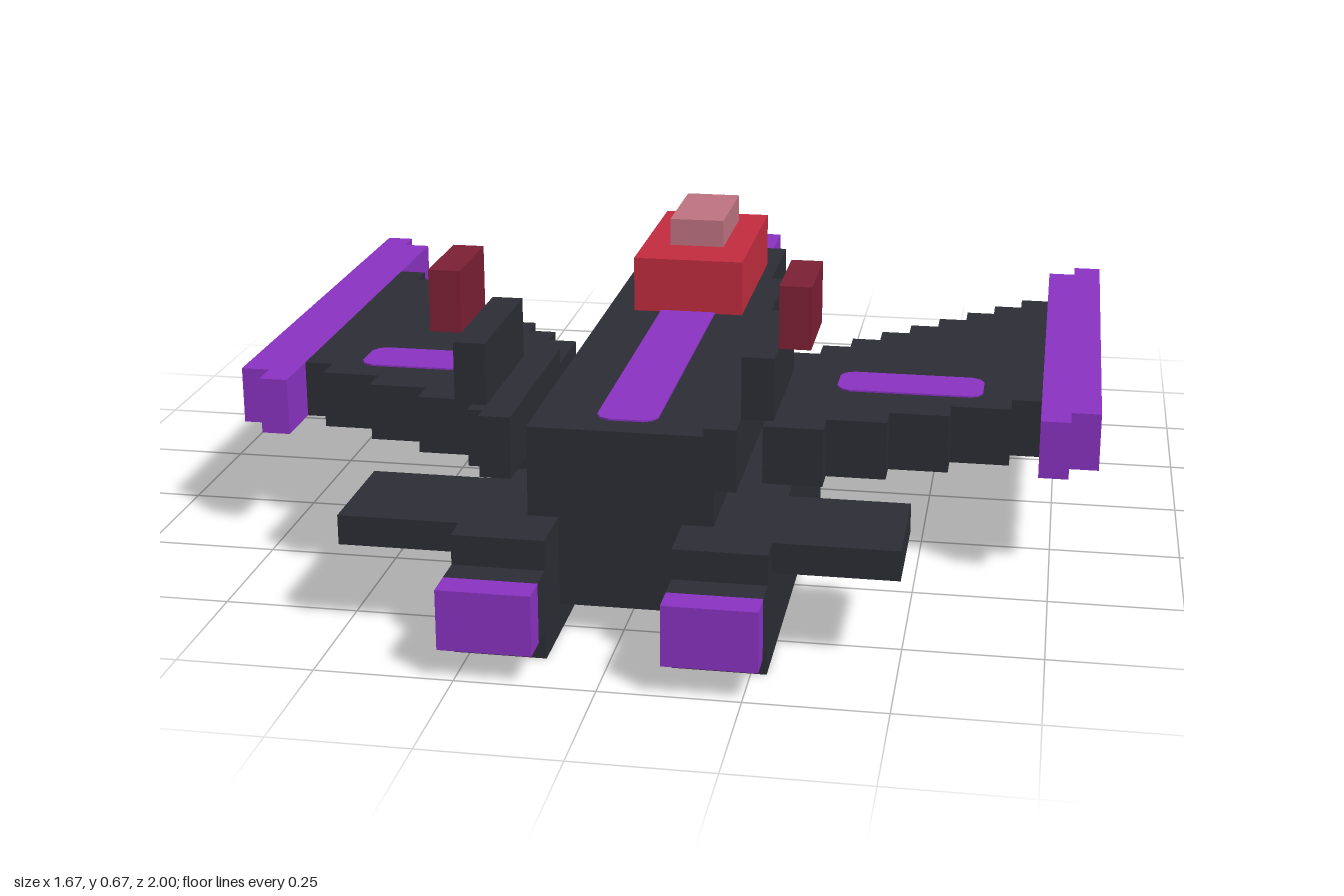
import * as THREE from 'three';

const U = 1 / 18; // one block

function material(name, color) {
  const m = new THREE.MeshStandardMaterial({ color });
  m.name = name;
  return m;
}

export function createModel() {
  const hull = material('charcoal hull', 0x2c2d35);
  const purple = material('purple trim', 0x8a33c2);
  const red = material('red canopy', 0xc22c3f);
  const darkRed = material('dark red tip', 0x7c2034);
  const pink = material('pink glass', 0xbf7482);

  const model = new THREE.Group();
  model.name = 'starfighter';

  const add = (parent, name, geometry, mat) => {
    const mesh = new THREE.Mesh(geometry, mat);
    mesh.name = name;
    parent.add(mesh);
  };

  // Box from block ranges along x, y and z
  const box = (parent, name, mat, [x0, x1], [y0, y1], [z0, z1]) => {
    const g = new THREE.BoxGeometry(Math.abs(x1 - x0) * U, (y1 - y0) * U, (z1 - z0) * U);
    g.translate((x0 + x1) / 2 * U, (y0 + y1) / 2 * U, (z0 + z1) / 2 * U);
    add(parent, name, g, mat);
  };

  // Flat outline given as [x, z] blocks, raised from y0 by height
  const slab = (parent, name, mat, outline, y0, height) => {
    const shape = new THREE.Shape(outline.map(([x, z]) => new THREE.Vector2(x * U, -z * U)));
    const g = new THREE.ExtrudeGeometry(shape, { depth: height * U, bevelEnabled: false });
    g.rotateX(-Math.PI / 2);
    g.translate(0, y0 * U, 0);
    add(parent, name, g, mat);
  };

  // Stripe with softened corners, laid on a surface at height y
  const stripe = (parent, name, x0, x1, z0, z1, y) => {
    const a = 0.15, b = 0.45;
    slab(parent, name, purple, [
      [x0 + b, z0], [x1 - b, z0], [x1 - a, z0 + a], [x1, z0 + b],
      [x1, z1 - b], [x1 - a, z1 - a], [x1 - b, z1], [x0 + b, z1],
      [x0 + a, z1 - a], [x0, z1 - b], [x0, z0 + b], [x0 + a, z0 + a],
    ], y, 0.06);
  };

  // Fuselage, nose and canopy
  box(model, 'fuselage', hull, [-3, 3], [1, 7], [-4, 14]);
  box(model, 'nose', hull, [-2, 2], [2, 6], [-12, -4]);
  box(model, 'noseBarrel', hull, [-1, 1], [3, 5], [-15, -12]);
  box(model, 'noseTip', purple, [-1, 1], [3, 5], [-18, -15]);
  box(model, 'noseRidge', purple, [-1, 1], [6, 7], [-9, -4]);
  box(model, 'canopy', red, [-2, 2], [7, 9], [-6, 1]);
  box(model, 'canopyGlass', pink, [-1, 1], [9, 10], [-5, -1]);
  stripe(model, 'spineStripe', -1, 1, 0, 13, 7);

  for (const s of [1, -1]) {
    const side = new THREE.Group();
    side.name = s > 0 ? 'leftSide' : 'rightSide';
    model.add(side);
    const sideBox = (name, mat, [x0, x1], y, z) => box(side, name, mat, [s * x0, s * x1], y, z);

    // Engine pod with nozzle
    sideBox('enginePod', hull, [2, 5], [0, 4], [1, 16]);
    sideBox('nozzleNeck', hull, [2, 5], [1, 3], [16, 17]);
    sideBox('nozzle', purple, [2, 5], [1, 3], [17, 18]);
    sideBox('tailPlate', hull, [5, 9], [3, 4], [11, 15]);

    // Wing with stepped leading and trailing edges
    const lead = [], trail = [];
    for (let x = 4; x < 13; x++) {
      const front = 6 - x, back = 10 - Math.floor((x - 3) / 2) + (x % 2 === 0 ? 0 : 1);
      const rear = x < 12 ? 10 - Math.floor((x - 4) / 2) : 6;
      lead.push([s * x, front], [s * (x + 1), front]);
      trail.unshift([s * (x + 1), rear], [s * x, rear]);
    }
    slab(side, 'wing', hull, [...lead, ...trail], 4, 2);
    stripe(side, 'wingStripe', Math.min(s * 6, s * 11), Math.max(s * 6, s * 11), 4, 6, 6);

    // Wingtip rail
    sideBox('wingtipInner', purple, [13, 14], [4, 6], [-10, 8]);
    sideBox('wingtipOuter', purple, [14, 15], [4, 6], [-11, 7]);

    // Tail fin stepping outwards
    sideBox('finBase', hull, [3, 4], [6, 8], [9, 16]);
    sideBox('finMiddle', hull, [4, 5], [8, 10], [10, 15]);
    sideBox('finTip', darkRed, [5, 6], [10, 12], [11, 14]);
  }

  return model;
}
